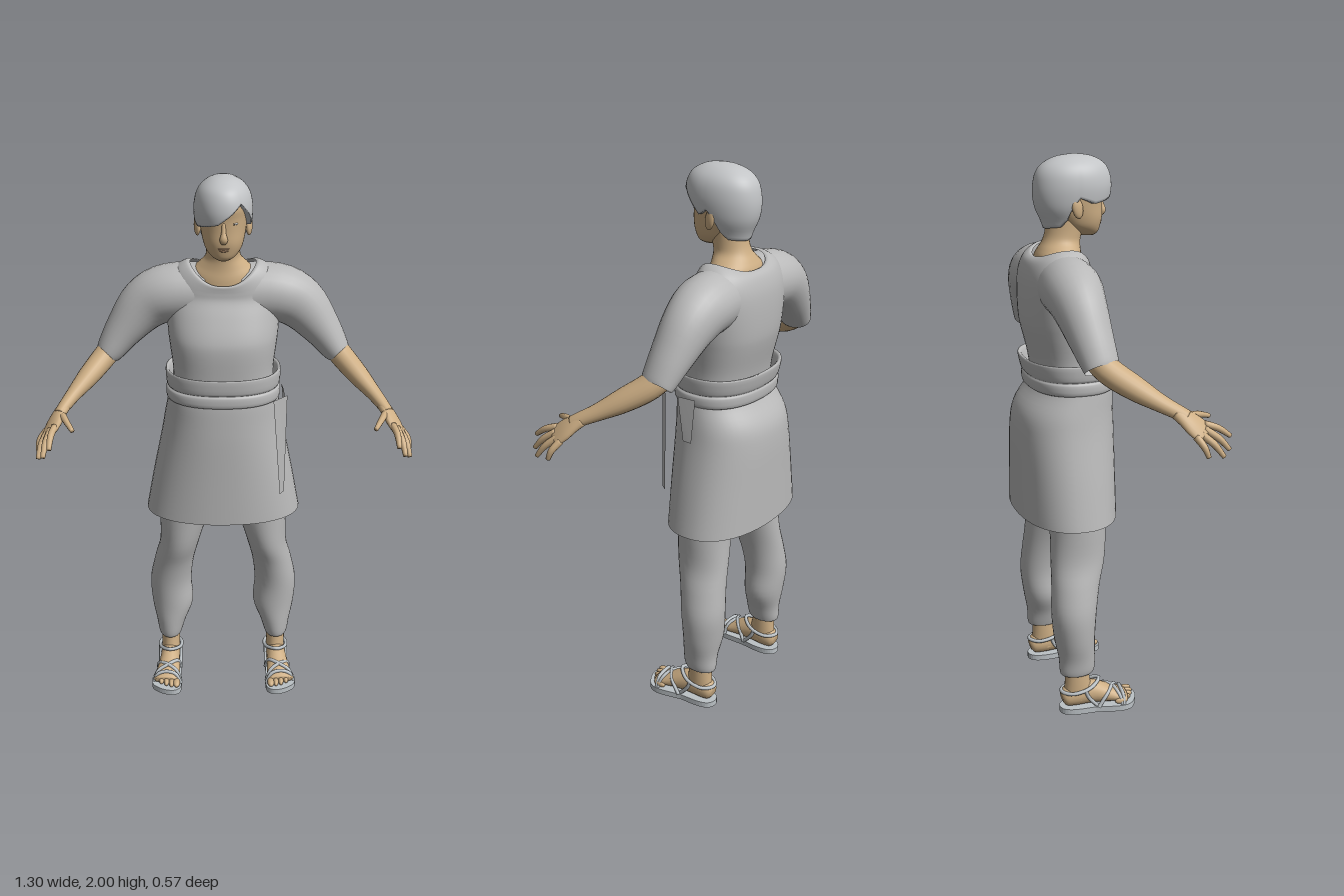
import * as THREE from 'three';

const colour = (name, hex) => {
  const m = new THREE.MeshStandardMaterial({ color: hex, side: THREE.DoubleSide });
  m.name = name;
  return m;
};
const V = (x, y, z) => new THREE.Vector3(x, y, z);

// smooth in-between row at fractional index t (all rows of equal length)
function sample(rows, t) {
  const last = rows.length - 1, i = Math.min(Math.floor(t), last - 1), f = t - i;
  const [a, b, c, d] = [i - 1, i, i + 1, i + 2].map(k => rows[Math.max(0, Math.min(last, k))]);
  return b.map((p, k) => p + 0.5 * f * (c[k] - a[k] + f * (2 * a[k] - 5 * p + 4 * c[k] - d[k]
    + f * (3 * (p - c[k]) + d[k] - a[k]))));
}
const refine = (rows, k = 4) =>
  Array.from({ length: (rows.length - 1) * k + 1 }, (_, i) => sample(rows, i / k));

// skin a list of closed rings, optionally closing both ends
function skinRings(name, rings, mat, cap) {
  if (cap) {
    const flat = r => {
      const c = r.reduce((s, p) => s.add(p), V(0, 0, 0)).divideScalar(r.length);
      return r.map(() => c);
    };
    rings = [flat(rings[0]), ...rings, flat(rings[rings.length - 1])];
  }
  const n = rings[0].length, index = [];
  for (let i = 0; i < rings.length - 1; i++) for (let j = 0; j < n; j++) {
    const a = i * n + j, b = i * n + (j + 1) % n;
    index.push(a, b, a + n, b, b + n, a + n);
  }
  const g = new THREE.BufferGeometry().setFromPoints(rings.flat());
  g.setIndex(index);
  g.computeVertexNormals();
  const mesh = new THREE.Mesh(g, mat);
  mesh.name = name;
  return mesh;
}

// point on a level section: row = [y, centre x, half width, front z, back z, front dip, back dip]
function sectionPoint([y, cx, rx, zf, zb, df = 0, db = 0], a, e) {
  const c = Math.cos(a), s = Math.sin(a);
  const pow = v => Math.sign(v) * Math.abs(v) ** (2 / e);
  return V(cx + rx * pow(c), y - s * s * (s > 0 ? df : db), (zf + zb) / 2 + (zf - zb) / 2 * pow(s));
}
// level sections, listed from top to bottom; missing dips count as zero
function loft(name, rows, mat, { e = 2, n = 40, cap = false, k = 4 } = {}) {
  const full = rows.map(r => [...r, 0, 0].slice(0, 7));
  return skinRings(name, refine(full, k).map(r =>
    Array.from({ length: n }, (_, j) => sectionPoint(r, j / n * 2 * Math.PI, e))), mat, cap);
}

// sections square to a path: row = [x, y, z, radius along ref, radius across]
function limb(name, rows, mat, ref = V(0, 0, 1), n = 20, cap = true) {
  const fine = refine(rows);
  const at = i => V(...fine[Math.max(0, Math.min(fine.length - 1, i))].slice(0, 3));
  return skinRings(name, fine.map((r, i) => {
    const t = at(i + 1).sub(at(i - 1)).normalize();
    const u = ref.clone().addScaledVector(t, -ref.dot(t)).normalize(), v = t.clone().cross(u);
    return Array.from({ length: n }, (_, j) => {
      const a = j / n * 2 * Math.PI;
      return at(i).addScaledVector(u, r[3] * Math.cos(a)).addScaledVector(v, r[4] * Math.sin(a));
    });
  }), mat, cap);
}
function ball(name, mat, p, s) {
  const m = new THREE.Mesh(new THREE.SphereGeometry(1, 20, 14), mat);
  m.name = name;
  m.position.set(...p);
  m.scale.set(...s);
  return m;
}
function strap(pts, mat, closed = false) {
  const curve = new THREE.CatmullRomCurve3(pts.map(p => V(...p)), closed);
  const m = new THREE.Mesh(new THREE.TubeGeometry(curve, 32, 0.007, 8, closed), mat);
  m.name = 'sandalStrap';
  return m;
}
// thin four-cornered cloth strip
function strip(name, corners, mat) {
  const g = new THREE.BufferGeometry().setFromPoints(corners.map(p => V(...p)));
  g.setIndex([0, 1, 2, 0, 2, 3]);
  g.computeVertexNormals();
  const m = new THREE.Mesh(g, mat);
  m.name = name;
  return m;
}

export function createModel() {
  const model = new THREE.Group();
  model.name = 'figure';
  const cloth = colour('cloth', 0xb9b9b9), skin = colour('skin', 0xcdae84), hairMat = colour('hair', 0xc2c4c6);
  const sandalMat = colour('sandal', 0xbcc2c6), dark = colour('eyeDark', 0x3a3430);
  const white = colour('eyeWhite', 0xd8d8d4), lip = colour('lips', 0xb89270);

  // shirt body with scooped neckline
  model.add(loft('shirt', [
    [1.69, 0, 0.115, -0.02, -0.195, 0.065, 0.03], [1.693, 0, 0.13, -0.012, -0.205, 0.07, 0.03],
    [1.67, 0, 0.165, -0.012, -0.222, 0.06, 0.02], [1.63, 0, 0.19, -0.012, -0.235, 0.035, 0.01],
    [1.58, 0, 0.2, -0.008, -0.243, 0.01, 0], [1.52, 0, 0.2, 0.016, -0.246],
    [1.45, 0, 0.196, 0.045, -0.244], [1.40, 0, 0.19, 0.054, -0.236],
    [1.31, 0, 0.18, 0.05, -0.214], [1.22, 0, 0.185, 0.045, -0.2]], cloth, { e: 2.4, n: 48 }));

  // sash with a rolled open lip
  model.add(loft('sash', [
    [1.25, 0, 0.18, 0.05, -0.215], [1.3, 0, 0.192, 0.064, -0.232], [1.312, 0, 0.2, 0.072, -0.243],
    [1.306, 0, 0.207, 0.078, -0.25], [1.262, 0, 0.204, 0.075, -0.24], [1.251, 0, 0.198, 0.069, -0.233],
    [1.242, 0, 0.205, 0.075, -0.237], [1.212, 0, 0.205, 0.075, -0.235], [1.203, 0, 0.195, 0.065, -0.225]],
  cloth, { e: 2.3, n: 48, k: 3 }));

  // wrapped skirt and hanging sash ends
  model.add(loft('skirt', [
    [1.25, 0, 0.19, 0.06, -0.2], [1.2, 0, 0.2, 0.067, -0.225], [1.13, 0, 0.213, 0.07, -0.27],
    [1.05, 0, 0.227, 0.072, -0.284], [0.9, 0, 0.258, 0.072, -0.285], [0.74, 0, 0.288, 0.072, -0.285]],
  cloth, { e: 2.25, n: 48 }));
  model.add(strip('sashTail', [[0.175, 1.235, 0.07], [0.205, 0.86, 0.055], [0.222, 0.86, 0.03], [0.227, 1.235, 0.015]], cloth));
  model.add(strip('sashEnd', [[0.218, 1.235, -0.03], [0.23, 1.08, -0.06], [0.23, 1.08, -0.095], [0.212, 1.235, -0.1]], cloth));

  // neck and head
  model.add(loft('neck', [
    [1.79, 0, 0.058, -0.02, -0.15], [1.74, 0, 0.058, -0.028, -0.158], [1.71, 0, 0.064, -0.035, -0.168],
    [1.685, 0, 0.088, -0.035, -0.182, 0.01], [1.655, 0, 0.115, -0.03, -0.195, 0.02], [1.58, 0, 0.13, -0.03, -0.21]],
  skin, { n: 32 }));
  model.add(loft('head', [
    [1.96, 0, 0.07, 0.03, -0.16], [1.91, 0, 0.085, 0.05, -0.183], [1.87, 0, 0.084, 0.045, -0.182],
    [1.83, 0, 0.079, 0.043, -0.165], [1.79, 0, 0.071, 0.043, -0.13], [1.76, 0, 0.06, 0.037, -0.1],
    [1.737, 0, 0.04, 0.03, -0.06], [1.725, 0, 0.018, 0.018, -0.03]], skin, { e: 2.2, cap: true }));
  model.add(limb('nose', [[0, 1.862, 0.038, 0.007, 0.006], [0, 1.83, 0.045, 0.008, 0.008],
    [0, 1.807, 0.049, 0.014, 0.012], [0, 1.794, 0.042, 0.01, 0.008]], skin, V(1, 0, 0), 14));
  model.add(ball('upperLip', lip, [0, 1.773, 0.036], [0.021, 0.004, 0.008]));
  model.add(ball('lowerLip', lip, [0, 1.766, 0.034], [0.017, 0.005, 0.009]));
  for (const s of [-1, 1]) {
    model.add(ball('eye', white, [s * 0.034, 1.856, 0.028], [0.014, 0.005, 0.008]));
    model.add(ball('iris', dark, [s * 0.034, 1.856, 0.0325], [0.005, 0.0048, 0.005]));
    const ear = ball('ear', skin, [s * 0.088, 1.828, -0.07], [0.011, 0.036, 0.021]);
    ear.rotation.set(-0.2, s * -0.3, 0);
    model.add(ear);
  }

  // hair: a cap whose lower edge varies around the head, with a swept fringe
  const hairRows = [
    [2.0, 0, 0.001, -0.05, -0.052], [1.992, 0, 0.04, 0.005, -0.115], [1.97, 0, 0.073, 0.048, -0.162],
    [1.94, 0, 0.092, 0.068, -0.187], [1.9, 0, 0.1, 0.076, -0.197], [1.86, 0, 0.099, 0.072, -0.198],
    [1.82, 0, 0.092, 0.06, -0.19], [1.78, 0, 0.077, 0.05, -0.172], [1.75, 0, 0.068, 0.04, -0.162]];
  const edge = [[0, 5], [15, 5.5], [35, 4.3], [55, 3.4], [80, 4.3], [100, 5], [130, 5.3], [155, 5.5],
    [180, 5], [200, 6.8], [215, 7.5], [270, 7.8], [325, 7.5], [340, 6.8], [360, 5]];
  const edgeAt = deg => {
    const i = Math.max(1, edge.findIndex(p => p[0] >= deg));
    const [a, b] = [edge[i - 1], edge[i]];
    return a[1] + (b[1] - a[1]) * (deg - a[0]) / (b[0] - a[0]);
  };
  const hairRings = Array.from({ length: 26 }, (_, i) => Array.from({ length: 72 }, (_, j) => {
    const p = sectionPoint(sample(hairRows, edgeAt(j * 5) * Math.min(i, 24) / 24), j * Math.PI / 36, 2.1);
    return i === 25 ? V(p.x * 0.8, p.y, -0.06 + (p.z + 0.06) * 0.8) : p;
  }));
  model.add(skinRings('hair', hairRings, hairMat, false));

  // arm
  const side = new THREE.Group();
  side.name = 'leftLimbs';
  side.add(limb('sleeve', [
    [0.06, 1.575, -0.12, 0.1, 0.105], [0.19, 1.572, -0.125, 0.103, 0.103], [0.275, 1.53, -0.125, 0.09, 0.094],
    [0.35, 1.445, -0.113, 0.075, 0.07], [0.4, 1.375, -0.1, 0.064, 0.052], [0.413, 1.357, -0.097, 0.06, 0.045]],
  cloth, V(0, 0, 1), 28, false));
  side.add(limb('forearm', [
    [0.37, 1.41, -0.12, 0.045, 0.042], [0.42, 1.355, -0.08, 0.047, 0.042], [0.475, 1.305, -0.01, 0.043, 0.037],
    [0.525, 1.262, 0.06, 0.031, 0.026], [0.555, 1.235, 0.11, 0.026, 0.021], [0.57, 1.22, 0.135, 0.026, 0.018]],
  skin));
  side.add(limb('palm', [
    [0.553, 1.236, 0.105, 0.026, 0.02], [0.57, 1.217, 0.13, 0.034, 0.019], [0.585, 1.195, 0.155, 0.042, 0.018],
    [0.602, 1.17, 0.182, 0.042, 0.013], [0.606, 1.165, 0.187, 0.036, 0.008]], skin, V(0.04, -0.025, -0.055)));
  const fingers = [
    [[0.562, 1.222, 0.135], [0.542, 1.217, 0.185], [0.515, 1.2, 0.235]],
    [[0.58, 1.195, 0.19], [0.59, 1.18, 0.235], [0.592, 1.15, 0.278]],
    [[0.594, 1.183, 0.184], [0.61, 1.152, 0.23], [0.617, 1.113, 0.265]],
    [[0.605, 1.172, 0.168], [0.627, 1.139, 0.207], [0.637, 1.097, 0.238]],
    [[0.612, 1.166, 0.15], [0.637, 1.137, 0.168], [0.643, 1.103, 0.182]]];
  fingers.forEach(([a, b, c], i) => side.add(limb(i ? 'finger' : 'thumb',
    [[...a, 0.013, 0.013], [...b, 0.0115, 0.0115], [...c, 0.008, 0.008]], skin, V(1, 0, 0.3), 10)));

  // trouser leg and ankle
  side.add(loft('trouserLeg', [
    [1.0, 0.12, 0.1, 0.02, -0.23], [0.87, 0.125, 0.108, 0.02, -0.215], [0.74, 0.145, 0.096, 0.01, -0.197],
    [0.6, 0.166, 0.076, 0, -0.2], [0.5, 0.19, 0.076, -0.028, -0.205], [0.4, 0.205, 0.08, -0.045, -0.21],
    [0.3, 0.2, 0.08, -0.05, -0.2], [0.22, 0.207, 0.058, -0.05, -0.186], [0.17, 0.211, 0.047, -0.053, -0.184],
    [0.153, 0.211, 0.04, -0.062, -0.178], [0.16, 0.211, 0.03, -0.08, -0.165]], cloth, { n: 32 }));
  side.add(loft('ankle', [[0.2, 0.211, 0.034, -0.08, -0.162], [0.12, 0.211, 0.036, -0.07, -0.165],
    [0.05, 0.211, 0.036, -0.05, -0.172]], skin, { n: 20 }));

  // foot and toes
  side.add(limb('foot', [
    [0.211, 0.055, -0.178, 0.018, 0.018], [0.211, 0.058, -0.165, 0.031, 0.036], [0.211, 0.064, -0.13, 0.037, 0.045],
    [0.213, 0.066, -0.07, 0.038, 0.046], [0.217, 0.053, -0.01, 0.043, 0.033], [0.222, 0.041, 0.04, 0.049, 0.022],
    [0.224, 0.036, 0.065, 0.046, 0.015]], skin, V(1, 0, 0)));
  for (let i = 0; i < 5; i++)
    side.add(ball('toe', skin, [0.186 + i * 0.02, 0.034, 0.077 - i * i * 0.0025],
      [i ? 0.0105 : 0.014, 0.013, 0.025]));

  // sandal sole and straps
  const outline = new THREE.Shape(); // drawn in x and -z
  outline.moveTo(0.211, 0.186);
  outline.bezierCurveTo(0.262, 0.186, 0.256, 0.11, 0.261, 0.06);
  outline.bezierCurveTo(0.275, 0, 0.305, -0.06, 0.26, -0.088);
  outline.bezierCurveTo(0.225, -0.116, 0.175, -0.122, 0.168, -0.08);
  outline.bezierCurveTo(0.162, -0.03, 0.172, 0.02, 0.17, 0.06);
  outline.bezierCurveTo(0.165, 0.11, 0.163, 0.186, 0.211, 0.186);
  const sole = new THREE.Mesh(new THREE.ExtrudeGeometry(outline, { depth: 0.022, bevelEnabled: false, curveSegments: 12 }), sandalMat);
  sole.name = 'sandalSole';
  sole.rotation.x = -Math.PI / 2;
  side.add(sole);
  side.add(strap([[0.17, 0.02, 0.045], [0.186, 0.062, 0.035], [0.22, 0.078, 0.015], [0.254, 0.065, -0.015], [0.262, 0.02, -0.05]], sandalMat));
  side.add(strap([[0.274, 0.02, 0.04], [0.258, 0.06, 0.03], [0.22, 0.078, 0.015], [0.184, 0.075, -0.015], [0.17, 0.02, -0.05]], sandalMat));
  side.add(strap([[0.169, 0.02, 0.06], [0.19, 0.058, 0.052], [0.225, 0.066, 0.046], [0.258, 0.056, 0.046], [0.276, 0.02, 0.045]], sandalMat));
  side.add(strap([[0.212, 0.115, -0.035], [0.25, 0.098, -0.08], [0.248, 0.085, -0.15], [0.211, 0.085, -0.18],
    [0.174, 0.085, -0.15], [0.173, 0.098, -0.08]], sandalMat, true));
  for (const x of [0.172, 0.253])
    side.add(strap([[x, 0.02, -0.05], [x, 0.06, -0.085], [x, 0.095, -0.1]], sandalMat));

  // the other side mirrors it
  const other = side.clone();
  other.name = 'rightLimbs';
  other.scale.x = -1;
  model.add(side, other);
  return model;
}
